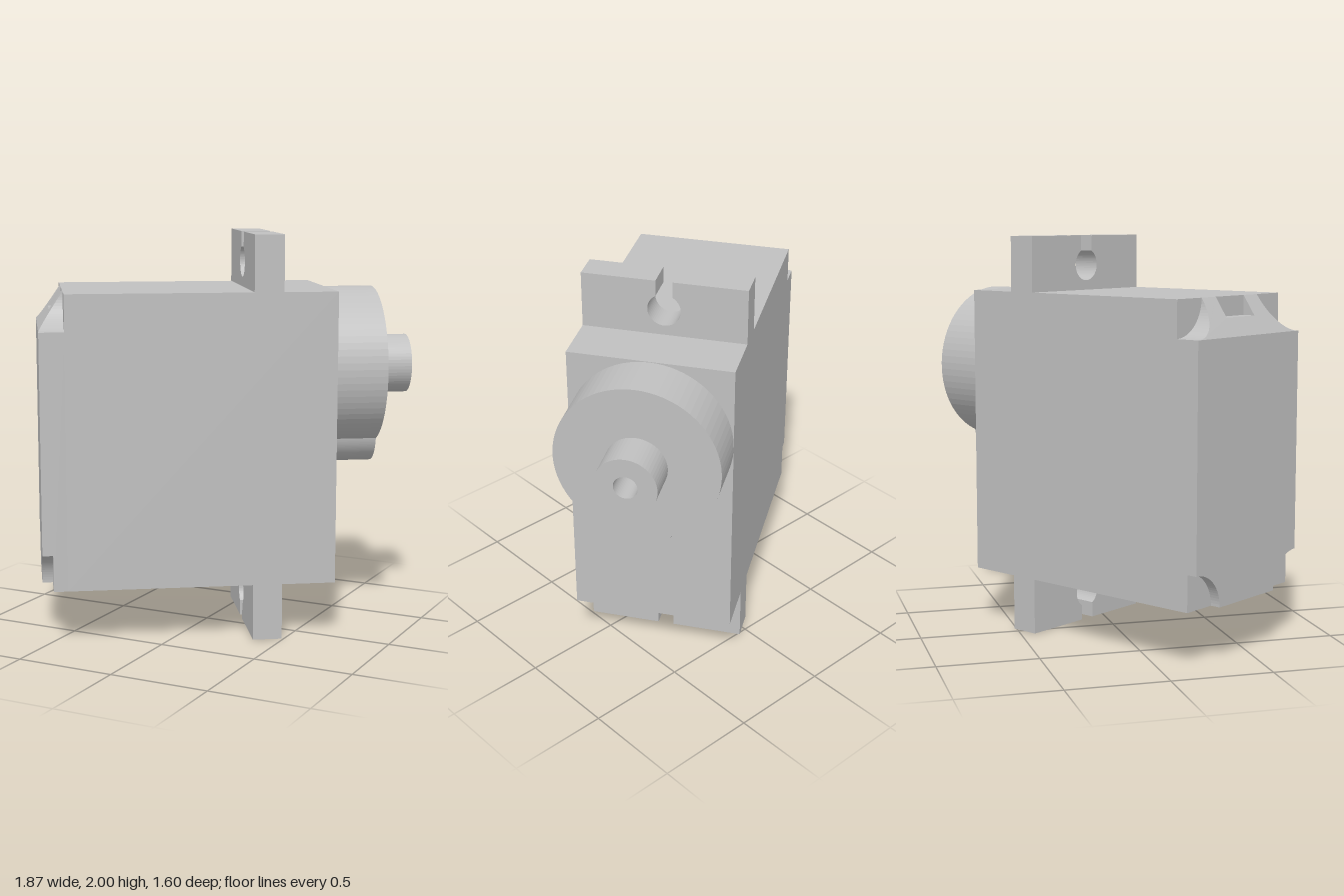
import * as THREE from 'three';

const HALF = 0.397;            // half width of the case
const BOTTOM = 0.28, TOP = 1.725, SHOULDER = 1.545;
const CUT = 0.18;              // radius of the rounded corner cut-outs
const FACE = 0.591, COVER = -0.73, STEP = -0.8, END = -0.852;

export function createModel() {
  const grey = new THREE.MeshStandardMaterial({ color: 0xc0c0c0 });
  const model = new THREE.Group();
  model.name = 'servoMotor';
  model.rotation.y = 0.588;

  const add = (name, geometry) => {
    const mesh = new THREE.Mesh(geometry, grey);
    mesh.name = name;
    model.add(mesh);
  };
  const box = (name, x0, x1, y0, y1) => {
    const g = new THREE.BoxGeometry(x1 - x0, y1 - y0, HALF * 2);
    g.translate((x0 + x1) / 2, (y0 + y1) / 2, 0);
    add(name, g);
  };
  // Outline across the width and height, pushed along x from x0 to x1
  const prism = (shape, x0, x1, curveSegments = 32) => {
    const g = new THREE.ExtrudeGeometry(shape, { depth: x1 - x0, bevelEnabled: false, curveSegments });
    g.rotateY(Math.PI / 2);
    g.translate(x0, 0, 0);
    return g;
  };

  // Case and the inner layer of its end cover
  box('caseBody', COVER, FACE, BOTTOM, TOP);
  box('coverBase', STEP, COVER, BOTTOM, SHOULDER);

  // Outer cover layer with rounded cut-outs at the lower corners
  const plate = new THREE.Shape();
  plate.moveTo(-HALF, SHOULDER);
  plate.lineTo(-HALF, BOTTOM + CUT);
  plate.absarc(-HALF, BOTTOM, CUT, Math.PI / 2, 0, true);
  plate.lineTo(HALF - CUT, BOTTOM);
  plate.absarc(HALF, BOTTOM, CUT, Math.PI, Math.PI / 2, true);
  plate.lineTo(HALF, SHOULDER);
  plate.closePath();
  add('coverPlate', prism(plate, END, STEP, 10));

  // Sloping top of the cover, with scooped corners and a cable notch
  const slope = new THREE.Shape();
  slope.moveTo(-HALF, SHOULDER);
  slope.lineTo(HALF, SHOULDER);
  slope.absarc(HALF, TOP, CUT, -Math.PI / 2, -Math.PI, true);
  slope.lineTo(0.11, TOP);
  slope.lineTo(0.11, 1.63);
  slope.lineTo(-0.11, 1.63);
  slope.lineTo(-0.11, TOP);
  slope.lineTo(CUT - HALF, TOP);
  slope.absarc(-HALF, TOP, CUT, 0, -Math.PI / 2, true);
  const slopeGeometry = prism(slope, END, COVER, 10);
  const p = slopeGeometry.attributes.position;
  for (let i = 0; i < p.count; i++) {
    if (p.getX(i) < COVER - 0.01) {
      const t = (p.getY(i) - SHOULDER) / (TOP - SHOULDER);
      p.setX(i, THREE.MathUtils.lerp(END, COVER, t));
    }
  }
  slopeGeometry.computeVertexNormals();
  add('coverSlope', slopeGeometry);

  // Mounting tabs: a screw hole open to the outer edge through a slot
  const tab = (name, root, tip, holeY) => {
    const s = Math.sign(tip - root), r = 0.08, w = 0.04;
    const a = Math.asin(w / r);
    const shape = new THREE.Shape();
    shape.moveTo(-HALF, root);
    shape.lineTo(HALF, root);
    shape.lineTo(HALF, tip);
    shape.lineTo(w, tip);
    shape.absarc(0, holeY, r, s * (Math.PI / 2 - a), s * (Math.PI / 2 + a), s > 0);
    shape.lineTo(-w, tip);
    shape.lineTo(-HALF, tip);
    shape.closePath();
    add(name, prism(shape, 0.18, 0.325, 24));
  };
  tab('upperMountingTab', TOP, 2, 1.853);
  tab('lowerMountingTab', BOTTOM, 0, 0.147);

  // Round gear housing with a small lobe below
  const R = HALF, axis = 1.325, lobeY = 0.99, lobeR = 0.165;
  const d = axis - lobeY;
  const drop = (R * R - lobeR * lobeR + d * d) / (2 * d);
  const side = Math.sqrt(R * R - drop * drop);
  const housing = new THREE.Shape();
  housing.absarc(0, axis, R, Math.atan2(-drop, side), Math.PI + Math.atan2(drop, side), false);
  housing.absarc(0, lobeY, lobeR, Math.atan2(d - drop, -side) - (d < drop ? 0 : 2 * Math.PI),
    Math.atan2(d - drop, side), false);
  add('gearHousing', prism(housing, FACE, 0.843, 32));

  // Output shaft with a screw hole in its end
  const shaft = new THREE.Shape();
  shaft.absarc(0, axis, 0.148, 0, Math.PI * 2, false);
  const bore = new THREE.Path();
  bore.absarc(0, axis, 0.057, 0, Math.PI * 2, true);
  shaft.holes.push(bore);
  add('outputShaft', prism(shaft, 0.843, 1.027, 28));

  return model;
}
